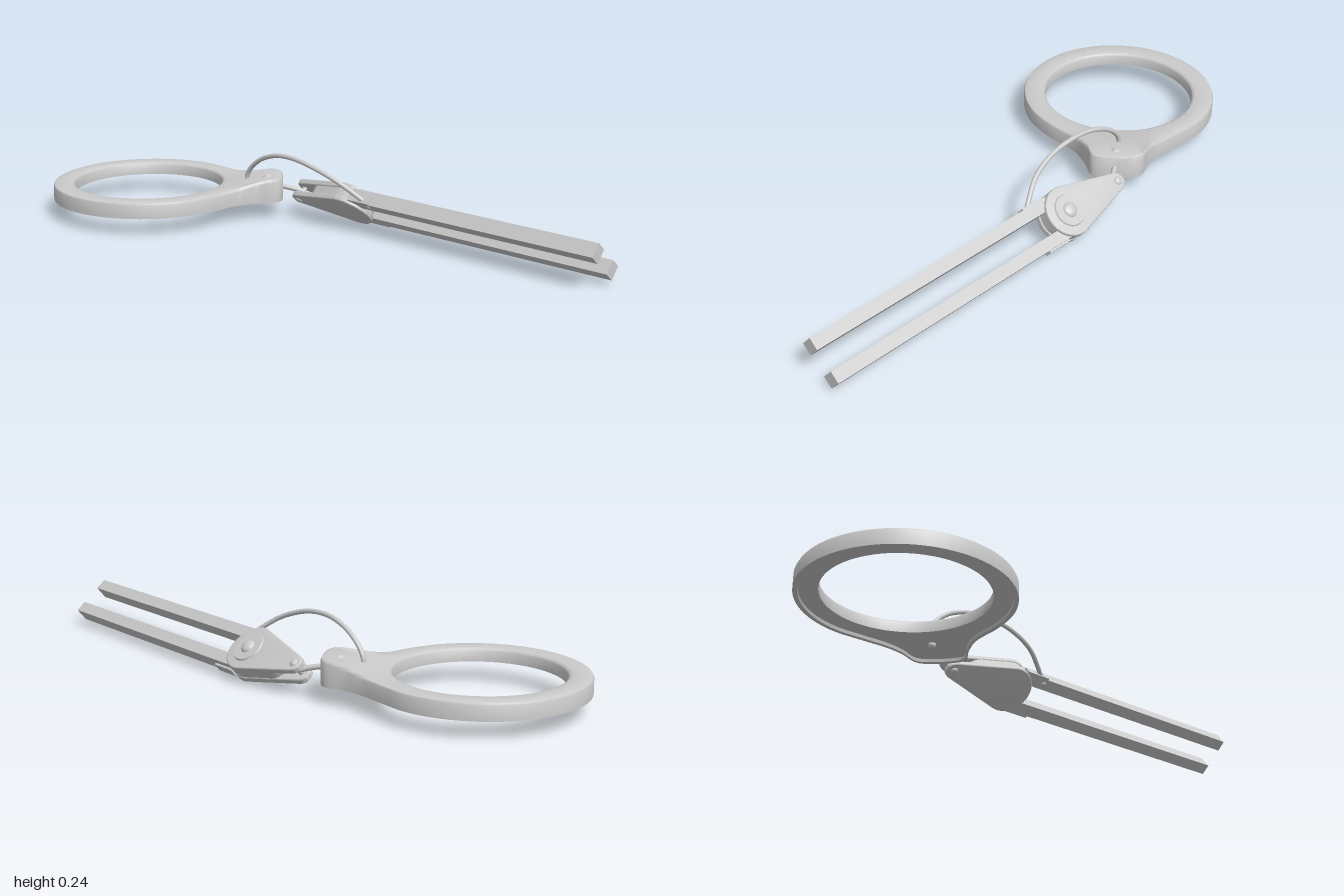
import * as THREE from 'three';
import { toCreasedNormals } from 'three/addons/utils/BufferGeometryUtils.js';

const material = new THREE.MeshStandardMaterial({ color: 0xcccccc, side: THREE.DoubleSide });

function add(parent, name, geometry, x = 0, y = 0, z = 0) {
  const mesh = new THREE.Mesh(geometry, material);
  mesh.name = name;
  mesh.position.set(x, y, z);
  parent.add(mesh);
  return mesh;
}

function tube(points, radius, segments) {
  const curve = new THREE.CatmullRomCurve3(points.map(p => new THREE.Vector3(...p)));
  return new THREE.TubeGeometry(curve, segments, radius, 12);
}

// Outline of a large disc and a smaller one joined by their tangents
function taperedPlate(R, r, length, thickness, bevel) {
  const a = Math.asin((R - r) / length);
  const shape = new THREE.Shape();
  shape.absarc(0, 0, R - bevel, -a, Math.PI + a, false);
  shape.absarc(0, -length, r - bevel, Math.PI + a, 2 * Math.PI - a, false);
  shape.closePath();
  const geo = new THREE.ExtrudeGeometry(shape, {
    depth: thickness - 2 * bevel, bevelEnabled: bevel > 0,
    bevelSize: bevel, bevelThickness: bevel, bevelSegments: 3, curveSegments: 32,
  });
  geo.rotateX(Math.PI / 2).translate(0, thickness / 2 - bevel, 0);
  return toCreasedNormals(geo, 0.6);
}

// Ring with a raised tail, lofted from one cross-section carried round the outline
function ringGeometry() {
  const inner = 0.26, outline = [];
  const tail = [[0.33, 0.065], [0.325, 0.165], [0.333, 0.225], [0.355, 0.3], [0.322, 0.35],
    [0.24, 0.408], [0.18, 0.375], [0.1, 0.342], [-0.02, 0.335]];
  for (const [x, z] of tail) outline.push(new THREE.Vector3(x, 0, z));
  for (let deg = 110; deg <= 355; deg += 12.25) {
    const t = THREE.MathUtils.degToRad(deg);
    outline.push(new THREE.Vector3(0.335 * Math.cos(t), 0, 0.335 * Math.sin(t)));
  }
  const points = new THREE.CatmullRomCurve3(outline, true, 'centripetal').getPoints(180).slice(0, -1);
  const pos = [], index = [], n = points.length;
  let m = 0;
  for (const p of points) {
    const r = Math.hypot(p.x, p.z), c = p.x / r, s = p.z / r;
    const lift = q => 0.027 * THREE.MathUtils.smoothstep(q * (0.64 * c + 0.77 * s), 0.29, 0.47);
    const mid = (r + inner) / 2;
    const section = [[r, 0.06], [r, 0.106 + lift(r)], [r - 0.003, 0.112 + lift(r)],
      [r - 0.01, 0.115 + lift(r)], [mid, 0.115 + lift(mid)], [inner + 0.012, 0.115],
      [inner + 0.004, 0.112], [inner, 0.106], [inner, 0.072],
      [mid, 0.072], [r - 0.016, 0.07], [r - 0.014, 0.06]];
    m = section.length;
    for (const [q, y] of section) pos.push(q * c, y, q * s);
  }
  for (let i = 0; i < n; i++) for (let j = 0; j < m; j++) {
    const k = (i + 1) % n, l = (j + 1) % m;
    const a = i * m + j, b = i * m + l, c = k * m + j, d = k * m + l;
    index.push(a, b, c, b, d, c);
  }
  const geo = new THREE.BufferGeometry();
  geo.setAttribute('position', new THREE.Float32BufferAttribute(pos, 3));
  geo.setIndex(index);
  return toCreasedNormals(geo, 0.7);
}

export function createModel() {
  const model = new THREE.Group();
  model.name = 'ringAndPulley';

  // Ring handle and its stud
  add(model, 'ringHandle', ringGeometry(), -0.05, 0, -0.665);
  add(model, 'tailStud', new THREE.SphereGeometry(0.02, 20, 12), 0.22, 0.125, -0.34).scale.y = 0.8;
  add(model, 'cordKnot', new THREE.SphereGeometry(0.013, 16, 10), 0.177, 0.068, -0.4);

  // Pulley block, tilted about the long axis of the bars
  const block = new THREE.Group();
  block.name = 'pulleyBlock';
  block.position.set(0.295, 0.083, -0.003);
  block.rotation.z = THREE.MathUtils.degToRad(-40);
  model.add(block);

  for (const side of [-1, 1]) {
    add(block, 'cheekPlate', taperedPlate(0.085, 0.03, 0.232, 0.021, 0.005), 0, side * 0.0245, 0);
    add(block, 'bar', new THREE.BoxGeometry(0.04, 0.05, 0.983), side * 0.055, 0, 0.5115);
    add(block, 'barClip', new THREE.BoxGeometry(0.012, 0.03, 0.09), side * 0.076, -0.01, 0.085);
    add(block, 'pinHead', new THREE.SphereGeometry(0.014, 16, 10), 0, side * 0.034, -0.234).scale.y = 0.6;
  }
  add(block, 'core', taperedPlate(0.081, 0.053, 0.12, 0.03, 0));
  add(block, 'tipPin', new THREE.CylinderGeometry(0.009, 0.009, 0.06, 16), 0, 0, -0.234);

  // Axle cap with a domed screw head
  add(block, 'axleCap', new THREE.CylinderGeometry(0.052, 0.055, 0.006, 40), 0, 0.037, 0);
  add(block, 'axleScrew', new THREE.SphereGeometry(0.025, 24, 8, 0, 2 * Math.PI, 0, Math.PI / 2),
    0, 0.038, 0).scale.y = 0.55;

  // Link from the tail to the fork of the block
  add(model, 'link', tube([[0.225, 0.1, -0.345], [0.25, 0.1, -0.3], [0.275, 0.092, -0.262],
    [0.295, 0.083, -0.237]], 0.009, 20));

  // Arched cord from the tail to the upper bar
  add(model, 'cord', tube([[0.177, 0.068, -0.4], [0.178, 0.14, -0.398], [0.178, 0.195, -0.345],
    [0.174, 0.228, -0.26], [0.17, 0.233, -0.17], [0.17, 0.218, -0.08], [0.185, 0.185, 0.01],
    [0.212, 0.145, 0.07], [0.238, 0.107, 0.115]], 0.008, 64));
  add(model, 'cordEnd', new THREE.SphereGeometry(0.011, 16, 10), 0.24, 0.104, 0.118);

  return model;
}
